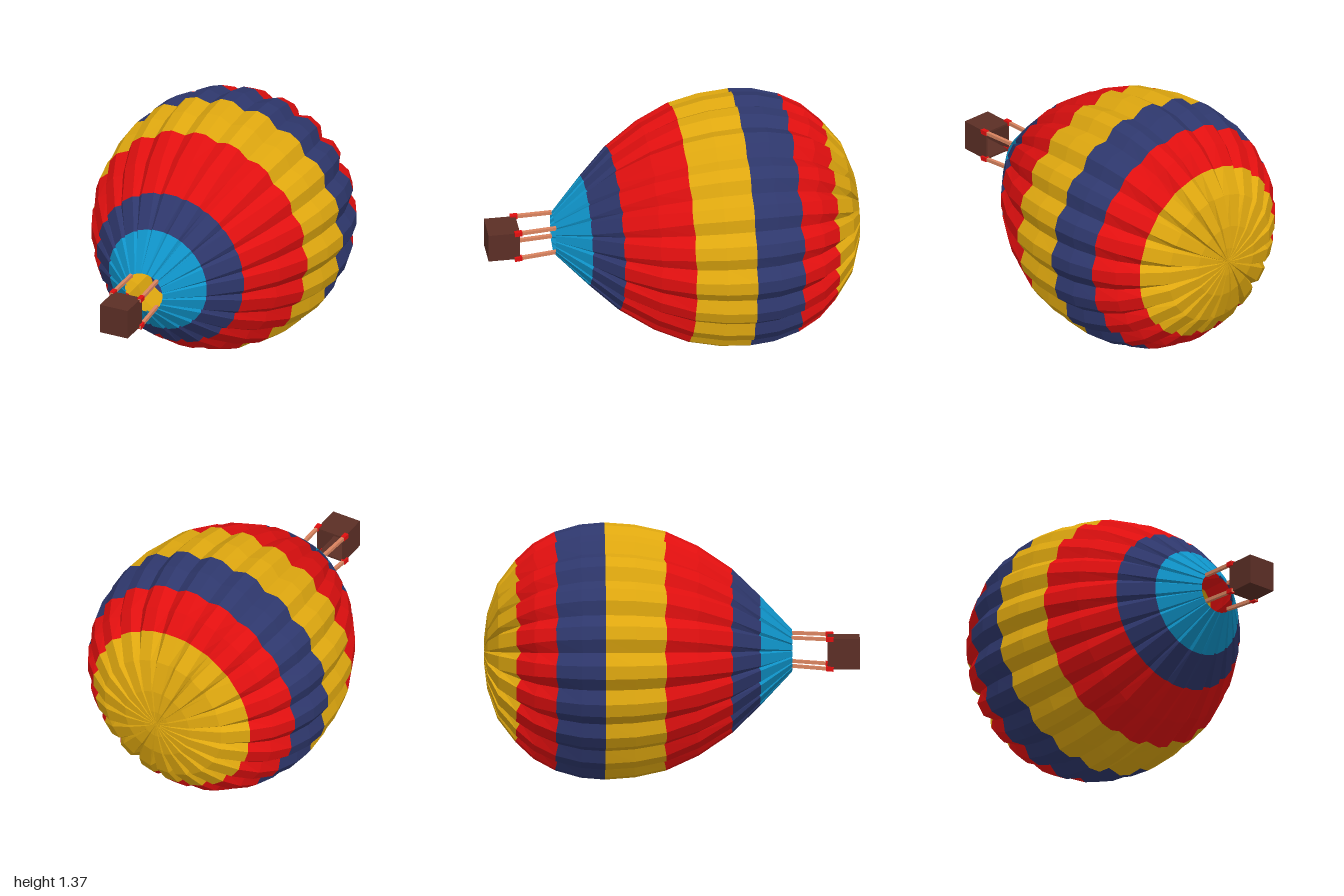
import * as THREE from 'three';

const AXIS_Y = 0.69;   // height of the envelope's long axis, which runs along z
const LOBES = 20;

const paint = (name, color, side = THREE.FrontSide) => {
  const m = new THREE.MeshStandardMaterial({ color, side, flatShading: true });
  m.name = name;
  return m;
};

// Envelope profile from crown to mouth: [z, radius, depth of the seam between lobes]
const PROFILE = [
  [-1.0, 0, 0], [-1.0, 0.08, 0.008], [-0.985, 0.2, 0.025], [-0.93, 0.36, 0.03], [-0.835, 0.485, 0.033],
  [-0.74, 0.575, 0.035], [-0.625, 0.638, 0.036],
  [-0.49, 0.677, 0.036], [-0.36, 0.688, 0.036],
  [-0.2, 0.676, 0.036], [-0.035, 0.64, 0.034],
  [0.14, 0.56, 0.028], [0.32, 0.438, 0.02],
  [0.47, 0.292, 0.014],
  [0.64, 0.112, 0.008],
];

// One cross-section: every lobe has a seam point and a flat top of two points
function ring(k) {
  const [z, r, depth] = PROFILE[k];
  const p = PROFILE[Math.max(k - 1, 0)], n = PROFILE[Math.min(k + 1, PROFILE.length - 1)];
  const dz = n[0] - p[0], dr = n[1] - p[1], len = Math.hypot(dz, dr);
  const half = THREE.MathUtils.clamp(3 + (0.64 - r) * 10, 3, 7.2);
  const points = [];
  for (let i = 0; i < LOBES; i++) {
    for (const offset of [-9, -half, half]) {
      const a = THREE.MathUtils.degToRad(i * 360 / LOBES + offset);
      const inset = offset === -9 ? depth : 0;
      const rr = r - inset * dz / len;
      points.push([rr * Math.cos(a), rr * Math.sin(a), z + inset * dr / len]);
    }
  }
  return points;
}

// Coloured band covering the profile rows from..to
function band(from, to) {
  const pos = [];
  for (let k = from; k < to; k++) {
    const lo = ring(k), hi = ring(k + 1);
    for (let i = 0; i < lo.length; i++) {
      const j = (i + 1) % lo.length;
      if (PROFILE[k][1] > 0) pos.push(...lo[i], ...lo[j], ...hi[j]);
      pos.push(...lo[i], ...hi[j], ...hi[i]);
    }
  }
  const g = new THREE.BufferGeometry();
  g.setAttribute('position', new THREE.Float32BufferAttribute(pos, 3));
  g.computeVertexNormals();
  return g;
}

export function createModel() {
  const model = new THREE.Group();
  model.name = 'hotAirBalloon';
  const yellow = paint('yellow fabric', 0xdea70f, THREE.DoubleSide);
  const red = paint('red fabric', 0xe00f0f, THREE.DoubleSide);
  const navy = paint('navy fabric', 0x2e376c, THREE.DoubleSide);
  const blue = paint('light blue fabric', 0x0f93c8, THREE.DoubleSide);
  const brown = paint('brown wicker', 0x5b2e25);
  const salmon = paint('salmon strap', 0xd9835f);

  const add = (parent, name, geometry, material, x = 0, y = 0, z = 0) => {
    const mesh = new THREE.Mesh(geometry, material);
    mesh.name = name;
    mesh.position.set(x, y, z);
    parent.add(mesh);
    return mesh;
  };

  // Envelope
  const envelope = new THREE.Group();
  envelope.name = 'envelope';
  envelope.position.y = AXIS_Y;
  model.add(envelope);
  [
    ['crown', 0, 4, yellow], ['upperRedBand', 4, 6, red], ['upperNavyBand', 6, 8, navy],
    ['middleYellowBand', 8, 10, yellow], ['lowerRedBand', 10, 12, red],
    ['lowerNavyBand', 12, 13, navy], ['mouthBand', 13, 14, blue],
  ].forEach(([name, from, to, mat]) => add(envelope, name, band(from, to), mat));

  // Basket, open towards the envelope
  const basket = new THREE.Group();
  basket.name = 'basket';
  basket.position.set(0, 0.683, 0.915);
  model.add(basket);
  const W = 0.165, D = 0.17, T = 0.01;
  add(basket, 'basketFloor', new THREE.BoxGeometry(W, W, T), brown, 0, 0, D / 2 - T / 2);
  for (const s of [-1, 1]) {
    add(basket, 'basketSide', new THREE.BoxGeometry(T, W, D - T), brown, s * (W - T) / 2, 0, -T / 2);
    add(basket, 'basketEnd', new THREE.BoxGeometry(W - 2 * T, T, D - T), brown, 0, s * (W - T) / 2, -T / 2);
  }

  // Straps from the basket corners to the mouth, each with a clamp
  const strap = (name, a, b, width, material) => {
    const mesh = add(model, name, new THREE.BoxGeometry(width, width, a.distanceTo(b)), material);
    mesh.position.copy(a).lerp(b, 0.5);
    mesh.lookAt(b);
  };
  for (const sx of [-1, 1]) {
    for (const sy of [-1, 1]) {
      const low = new THREE.Vector3(sx * 0.083, 0.683 + sy * 0.08, 0.86);
      const high = new THREE.Vector3(sx * 0.076, 0.697 + sy * 0.076, 0.635);
      strap('strap', low, high, 0.018, salmon);
      strap('strapClamp', low, low.clone().lerp(high, 0.18), 0.024, red);
    }
  }
  return model;
}
